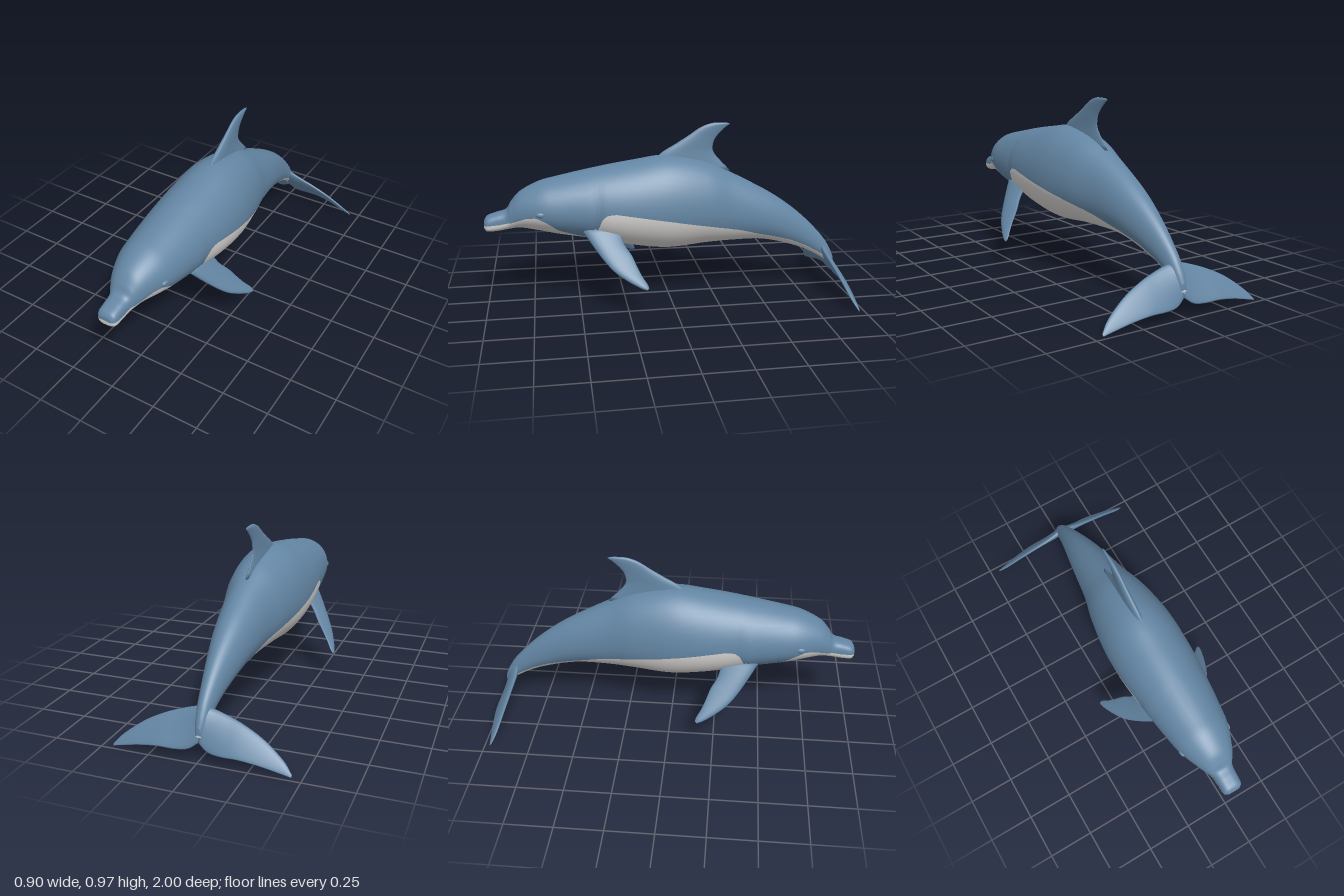
import * as THREE from 'three';

const blue = new THREE.MeshStandardMaterial({ color: 0x6486a4 });
blue.name = 'slate blue skin';
const pale = new THREE.MeshStandardMaterial({ color: 0xd4d2d0 });
pale.name = 'pale belly';

// Skin closed rings of points; ring segments from index `split` on use the second material.
function loft(rings, split = Infinity) {
  const n = rings[0].length, pos = [], faces = [[], []];
  rings.forEach(r => r.forEach(p => pos.push(p.x, p.y, p.z)));
  const ends = [rings[0], rings[rings.length - 1]].map(r => {
    const c = new THREE.Vector3();
    r.forEach(p => c.addScaledVector(p, 1 / n));
    pos.push(c.x, c.y, c.z);
    return pos.length / 3 - 1;
  });
  for (let j = 0; j < n; j++) {
    const k = (j + 1) % n, out = faces[j < split ? 0 : 1];
    for (let i = 0; i < rings.length - 1; i++) {
      const a = i * n + j, b = i * n + k;
      out.push(a, b, a + n, b, b + n, a + n);
    }
    const last = (rings.length - 1) * n;
    out.push(ends[0], k, j, ends[1], last + j, last + k);
  }
  const g = new THREE.BufferGeometry();
  g.setAttribute('position', new THREE.Float32BufferAttribute(pos, 3));
  g.setIndex([...faces[0], ...faces[1]]);
  g.addGroup(0, faces[0].length, 0);
  g.addGroup(faces[0].length, faces[1].length, 1);
  g.computeVertexNormals();
  return g;
}

const spline = pts => new THREE.CatmullRomCurve3(pts, false, 'catmullrom', 0.5);

// Fin from sections [leading point, trailing point, half thickness], root to tip.
function fin(name, sections, side = 1) {
  const v = p => new THREE.Vector3(p[0] * side, p[1], p[2]);
  const lead = spline(sections.map(s => v(s[0])));
  const trail = spline(sections.map(s => v(s[1])));
  const thick = spline(sections.map(s => new THREE.Vector3(s[2], 0, 0)));
  const span = lead.getPoint(1).add(trail.getPoint(1)).sub(lead.getPoint(0)).sub(trail.getPoint(0));
  const steps = (sections.length - 1) * 4, rings = [];
  for (let i = 0; i <= steps; i++) {
    const u = i / steps, a = lead.getPoint(u), chord = trail.getPoint(u).sub(a);
    const normal = chord.clone().cross(span).normalize(), t = thick.getPoint(u).x;
    rings.push(Array.from({ length: 20 }, (_, j) => {
      const w = j / 20 * Math.PI * 2, c = (1 - Math.cos(w)) / 2;
      return a.clone().addScaledVector(chord, c).addScaledVector(normal, t * Math.sin(w) * (1.15 - 0.5 * c));
    }));
  }
  const mesh = new THREE.Mesh(loft(rings), blue);
  mesh.geometry.clearGroups();
  mesh.name = name;
  return mesh;
}

// Body sections, tail to snout: z, top, bottom, half width, squareness (1 = ellipse)
const BODY = [
  [-0.975, 0.165, 0.10, 0.014, 1], [-0.95, 0.22, 0.125, 0.026, 1], [-0.9, 0.295, 0.165, 0.037, 1],
  [-0.8, 0.40, 0.22, 0.055, 1], [-0.7, 0.485, 0.257, 0.075, 1], [-0.6, 0.555, 0.285, 0.095, 1],
  [-0.5, 0.613, 0.30, 0.112, 1], [-0.35, 0.692, 0.30, 0.137, 1], [-0.2, 0.76, 0.295, 0.175, 1],
  [0, 0.798, 0.28, 0.205, 1], [0.2, 0.775, 0.305, 0.207, 1], [0.4, 0.742, 0.35, 0.19, 1],
  [0.6, 0.702, 0.387, 0.165, 1], [0.7, 0.678, 0.41, 0.145, 1], [0.8, 0.628, 0.43, 0.105, 0.95],
  [0.85, 0.575, 0.428, 0.078, 0.85], [0.88, 0.53, 0.424, 0.062, 0.75], [0.93, 0.514, 0.417, 0.057, 0.7],
  [0.98, 0.497, 0.415, 0.053, 0.7], [0.998, 0.475, 0.43, 0.036, 0.75]
];

// Height of the colour edge along the body: z, y
const EDGE = [
  [-0.98, 0.125], [-0.9, 0.19], [-0.8, 0.25], [-0.7, 0.295], [-0.6, 0.325], [-0.5, 0.35], [-0.4, 0.382],
  [-0.2, 0.43], [0, 0.475], [0.2, 0.512], [0.31, 0.53], [0.36, 0.52], [0.385, 0.49], [0.41, 0.40],
  [0.44, 0.378], [0.5, 0.395], [0.6, 0.432], [0.67, 0.485], [0.72, 0.51], [0.77, 0.505], [0.85, 0.472],
  [0.92, 0.458], [1, 0.452]
];
function edgeAt(z) {
  const i = Math.max(1, EDGE.findIndex(e => e[0] >= z));
  const [a, b] = [EDGE[i - 1], EDGE[i]];
  return a[1] + (b[1] - a[1]) * (z - a[0]) / (b[0] - a[0]);
}

function body() {
  const outline = spline(BODY.map(s => new THREE.Vector3(s[1], s[2], s[0])));
  const shape = spline(BODY.map(s => new THREE.Vector3(s[3], s[4], s[0])));
  const steps = (BODY.length - 1) * 8, upper = 26, lower = 22, rings = [];
  for (let i = 0; i <= steps; i++) {
    const o = outline.getPoint(i / steps), s = shape.getPoint(i / steps);
    const mid = o.y + (o.x - o.y) * 0.44;
    const pow = (v, e) => Math.sign(v) * Math.abs(v) ** e;
    // Angle where the section meets the colour edge
    const d = edgeAt(o.z) - mid, q = THREE.MathUtils.clamp(d / (d > 0 ? o.x - mid : mid - o.y), -0.98, 0.95);
    const a0 = Math.asin(pow(q, 1 / s.y));
    const ring = [];
    for (let j = 0; j < upper + lower; j++) {
      const a = j < upper
        ? a0 + (Math.PI - 2 * a0) * j / upper
        : Math.PI - a0 + (Math.PI + 2 * a0) * (j - upper) / lower;
      const sin = pow(Math.sin(a), s.y);
      ring.push(new THREE.Vector3(s.x * pow(Math.cos(a), s.y), mid + sin * (sin > 0 ? o.x - mid : mid - o.y), o.z));
    }
    rings.push(ring);
  }
  const mesh = new THREE.Mesh(loft(rings, upper), [blue, pale]);
  mesh.name = 'body';
  return mesh;
}

export function createModel() {
  const model = new THREE.Group();
  model.name = 'dolphin';
  model.add(body());

  // Swept-back fin on the back: y, leading z, trailing z, half thickness
  model.add(fin('dorsalFin', [
    [0.70, 0.12, -0.35, 0.03], [0.80, 0.05, -0.258, 0.022], [0.86, -0.045, -0.253, 0.018],
    [0.90, -0.11, -0.275, 0.015], [0.94, -0.17, -0.315, 0.013], [0.96, -0.215, -0.342, 0.01],
    [0.968, -0.25, -0.32, 0.004]
  ].map(([y, a, b, t]) => [[0, y, a], [0, y, b], t])));

  // Flippers: leading y, z, trailing y, z, half thickness
  const flipper = [
    [0.43, 0.48, 0.43, 0.28, 0.028], [0.36, 0.43, 0.365, 0.265, 0.024], [0.29, 0.375, 0.31, 0.228, 0.019],
    [0.235, 0.32, 0.26, 0.205, 0.016], [0.19, 0.25, 0.215, 0.182, 0.013], [0.16, 0.19, 0.18, 0.158, 0.009],
    [0.151, 0.16, 0.16, 0.15, 0.004]
  ].map(([ya, za, yb, zb, t]) => [[0.16 + (0.4 - ya) * 0.72, ya, za], [0.16 + (0.4 - yb) * 0.72, yb, zb], t]);

  // Tail flukes: x, leading y, z, trailing y, z, half thickness
  const fluke = [
    [0, 0.25, -0.905, 0.095, -0.975, 0.022], [0.05, 0.238, -0.893, 0.062, -0.988, 0.022],
    [0.12, 0.215, -0.893, 0.055, -0.997, 0.017], [0.2, 0.185, -0.9, 0.055, -0.997, 0.014],
    [0.3, 0.135, -0.915, 0.04, -0.99, 0.011], [0.4, 0.062, -0.94, 0.015, -0.98, 0.008],
    [0.448, 0.012, -0.965, 0.002, -0.975, 0.003]
  ].map(([x, ya, za, yb, zb, t]) => [[x, ya, za], [x, yb, zb], t]);

  for (const [side, label] of [[1, 'left'], [-1, 'right']]) {
    model.add(fin(label + 'Flipper', flipper, side), fin(label + 'Fluke', fluke, side));
    // Low swelling around the eye
    const eye = new THREE.Mesh(new THREE.SphereGeometry(0.022, 16, 12), blue);
    eye.name = label + 'Eye';
    eye.scale.set(0.6, 0.7, 1.2);
    eye.position.set(side * 0.14, 0.527, 0.695);
    model.add(eye);
  }
  return model;
}
